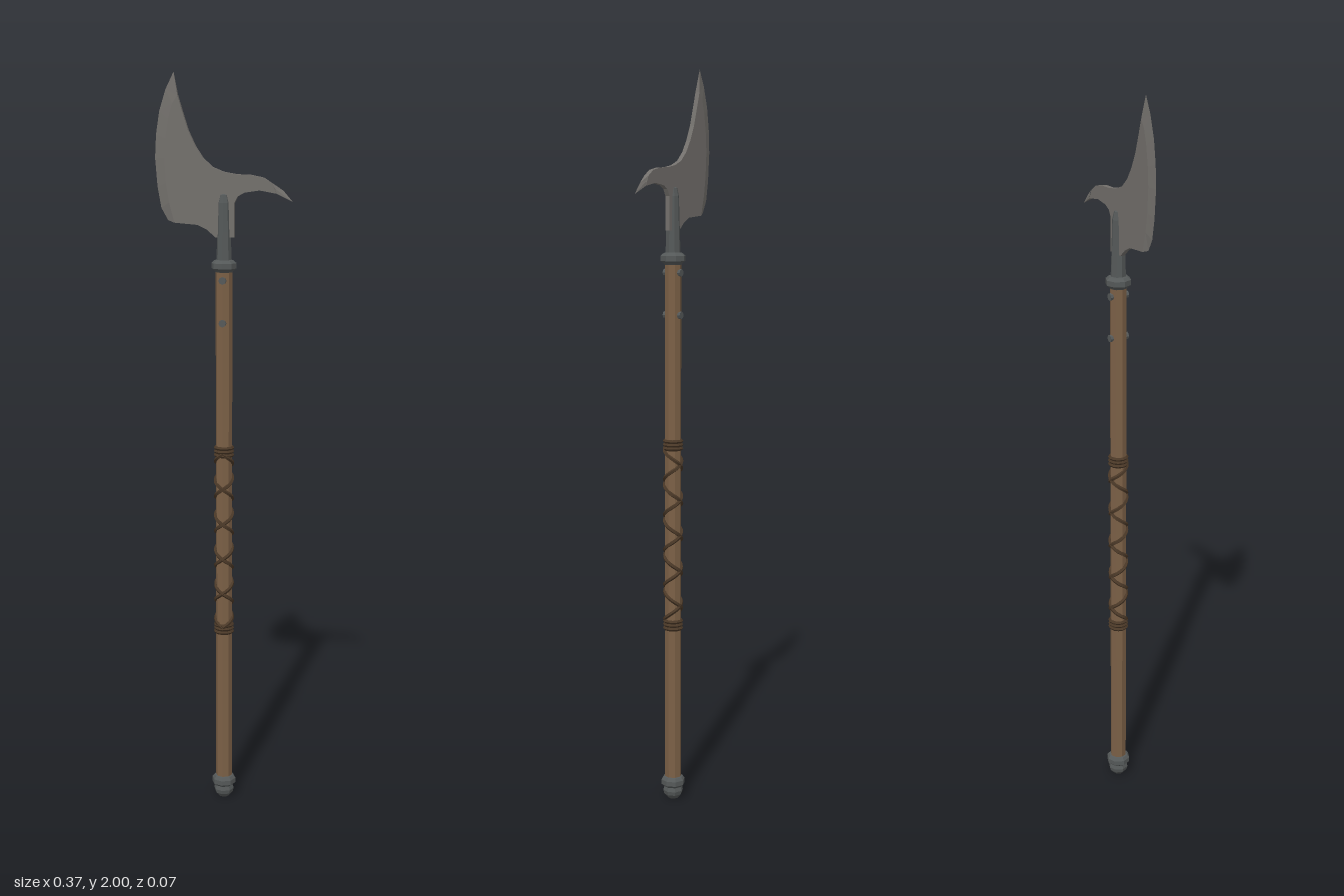
import * as THREE from 'three';

const mat = (name, color) => new THREE.MeshStandardMaterial({ name, color, flatShading: true });
const T = 0.0065; // half thickness of the blade

// Sharp bevel between an inner line (full thickness) and an outer edge (no thickness)
function wedge(inner, edge) {
  const pos = [];
  const tri = (...pts) => pts.forEach((p) => pos.push(...p));
  const f = (p) => [p[0], p[1], T], b = (p) => [p[0], p[1], -T], e = (p) => [p[0], p[1], 0];
  const n = inner.length - 1;
  for (let i = 0; i < n; i++) {
    const [a, c, p, q] = [inner[i], inner[i + 1], edge[i], edge[i + 1]];
    tri(f(a), e(p), e(q));
    tri(f(a), e(q), f(c));
    tri(b(a), e(q), e(p));
    tri(b(a), b(c), e(q));
  }
  tri(f(inner[0]), b(inner[0]), e(edge[0]));
  tri(b(inner[n]), f(inner[n]), e(edge[n]));
  const g = new THREE.BufferGeometry();
  g.setAttribute('position', new THREE.Float32BufferAttribute(pos, 3));
  g.computeVertexNormals();
  return g;
}

const lathe = (pts, sides = 8) =>
  new THREE.LatheGeometry(pts.map(([r, y]) => new THREE.Vector2(r, y)), sides);

export function createModel() {
  const root = new THREE.Group();
  root.name = 'poleaxe';
  const steel = mat('bladeSteel', 0x73706c);
  const iron = mat('darkIron', 0x555959);
  const wood = mat('wood', 0x7b6046);
  const leather = mat('leather', 0x4a3827);

  const add = (name, geo, material, parent = root) => {
    const m = new THREE.Mesh(geo, material);
    m.name = name;
    parent.add(m);
    return m;
  };

  // Blade: flat body, bevelled cutting edge and pointed rear spike
  const blade = new THREE.Group();
  blade.name = 'blade';
  root.add(blade);
  const edge = [[-0.133, 2], [-0.155, 1.955], [-0.172, 1.9], [-0.181, 1.84], [-0.184, 1.78],
    [-0.178, 1.705], [-0.168, 1.65], [-0.15, 1.618]];
  const inner = [[-0.122, 1.94], [-0.136, 1.92], [-0.147, 1.88], [-0.155, 1.83], [-0.158, 1.78],
    [-0.154, 1.715], [-0.146, 1.665], [-0.132, 1.612]];
  const spikeRoot = [[0.14, 1.69], [0.128, 1.716]];
  const outline = [...inner, [-0.07, 1.607], [-0.045, 1.595], [-0.022, 1.575], [0.028, 1.575],
    [0.028, 1.665], [0.037, 1.682], [0.055, 1.692], [0.095, 1.698], ...spikeRoot,
    [0.105, 1.731], [0.07, 1.738], [0.035, 1.739], [0.0, 1.745], [-0.03, 1.757],
    [-0.055, 1.78], [-0.075, 1.81], [-0.094, 1.85], [-0.11, 1.9]];
  const shape = new THREE.Shape(outline.map(([x, y]) => new THREE.Vector2(x, y)));
  const body = new THREE.ExtrudeGeometry(shape, { depth: 2 * T, bevelEnabled: false });
  body.translate(0, 0, -T);
  add('bladeBody', body, steel, blade);
  add('cuttingEdge', wedge(inner, edge), steel, blade);
  const tip = [0.182, 1.669];
  add('rearSpikeTip', wedge([spikeRoot[0], [0.136, 1.703], spikeRoot[1]],
    [tip, tip, [0.157, 1.698]]), steel, blade);
  add('rearSpikeTop', wedge([[0.136, 1.703], spikeRoot[1]], [tip, [0.157, 1.698]]), steel, blade);

  // Socket gripping the blade, and its collar
  add('socket', lathe([[0.021, 1.5], [0.018, 1.59], [0.016, 1.665], [0.011, 1.686], [0, 1.692]]), iron);
  add('collar', lathe([[0.021, 1.482], [0.026, 1.488], [0.034, 1.494], [0.034, 1.508],
    [0.026, 1.515], [0.018, 1.517]]), iron);

  // Wooden shaft
  const shaft = add('shaft', new THREE.CylinderGeometry(0.0225, 0.0225, 1.45, 8), wood);
  shaft.position.y = 0.77;

  // Rivets through the shaft, front and back
  for (const y of [1.35, 1.463]) {
    const pin = add('rivet', new THREE.CylinderGeometry(0.01, 0.01, 0.054, 8), iron);
    pin.rotation.x = Math.PI / 2;
    pin.position.y = y;
  }

  // Leather grip: bands at both ends and two crossing spirals
  for (const mid of [0.5, 1.0]) {
    for (const dy of [-0.01, 0, 0.01]) {
      const ring = add('gripBand', new THREE.TorusGeometry(0.0225, 0.0055, 5, 12), leather);
      ring.rotation.x = Math.PI / 2;
      ring.position.y = mid + dy;
    }
  }
  for (const dir of [1, -1]) {
    const pts = [];
    for (let i = 0; i <= 80; i++) {
      const a = (i / 80) * Math.PI * 10 * dir;
      pts.push(new THREE.Vector3(Math.sin(a) * 0.0225, 0.505 + 0.49 * i / 80, Math.cos(a) * 0.0225));
    }
    add('gripWrap', new THREE.TubeGeometry(new THREE.CatmullRomCurve3(pts), 120, 0.0055, 5), leather);
  }

  // Iron butt cap
  add('buttCap', lathe([[0, 0], [0.014, 0.001], [0.025, 0.013], [0.028, 0.024], [0.025, 0.035],
    [0.033, 0.042], [0.033, 0.055], [0.027, 0.063], [0.02, 0.065]]), iron);

  return root;
}
